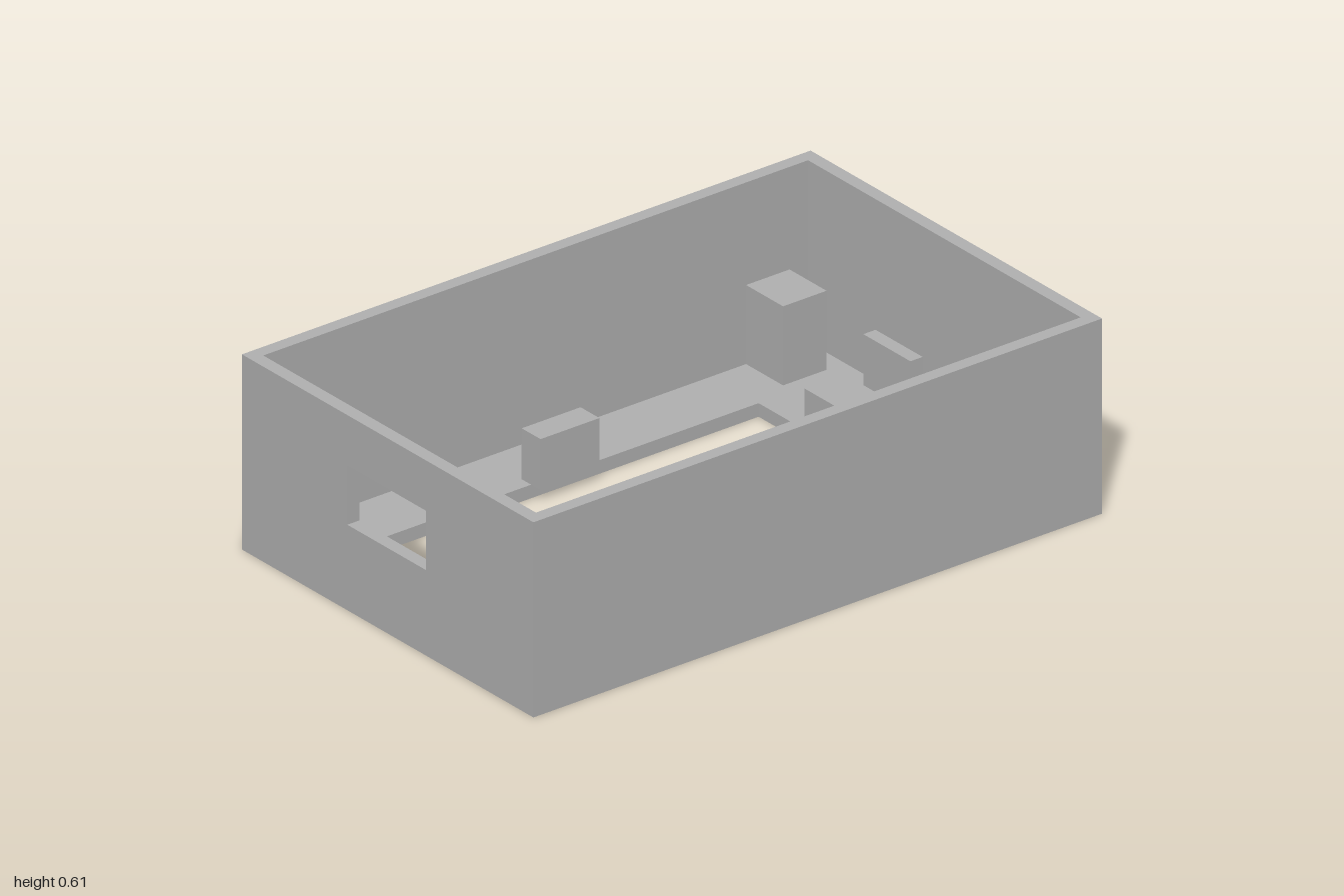
import * as THREE from 'three';

export function createModel() {
  const model = new THREE.Group();
  model.name = 'enclosure';
  const grey = new THREE.MeshStandardMaterial({ color: 0xb2b2b2 });
  grey.name = 'grey plastic';

  const W = 1, D = 0.65, H = 0.605, T = 0.042; // half width, half depth, height, wall
  const IX = W - T, IZ = D - T;

  const add = (name, geometry) => {
    const mesh = new THREE.Mesh(geometry, grey);
    mesh.name = name;
    model.add(mesh);
  };
  // Box given by its minimum and maximum on each axis
  const box = (name, x0, x1, y0, y1, z0, z1) => add(name,
    new THREE.BoxGeometry(x1 - x0, y1 - y0, z1 - z0)
      .translate((x0 + x1) / 2, (y0 + y1) / 2, (z0 + z1) / 2));
  const rect = (PathType, u0, u1, v0, v1) => new PathType([[u0, v0], [u1, v0], [u1, v1], [u0, v1]]
    .map(([u, v]) => new THREE.Vector2(u, v)));
  const extrude = (shape, depth) =>
    new THREE.ExtrudeGeometry(shape, { depth, bevelEnabled: false, curveSegments: 16 });

  // Floor frame with a large window (shape v is -z)
  const floor = rect(THREE.Shape, -IX, IX, -IZ, IZ);
  floor.holes.push(rect(THREE.Path, -0.745, 0.62, -0.495, 0.4));
  add('floor', extrude(floor, T).rotateX(-Math.PI / 2));

  // Plain front and back walls
  box('frontWall', -IX, IX, 0, H, IZ, D);
  box('backWall', -IX, IX, 0, H, -D, -IZ);

  // End walls with cutouts (shape u is -z)
  const endWall = (name, x, hole) => {
    const shape = rect(THREE.Shape, -D, D, 0, H);
    shape.holes.push(hole);
    add(name, extrude(shape, T).rotateY(Math.PI / 2).translate(x, 0, 0));
  };
  endWall('rightWall', -W, rect(THREE.Path, -0.17, 0.18, 0.265, 0.449));

  // Socket cutout: a square merged with a slightly wider circle
  const cu = -0.281, cv = 0.207, r = 0.109, half = 0.094, top = 0.315, low = 0.128;
  const side = Math.acos(half / r), base = Math.asin((cv - low) / r);
  const socket = new THREE.Path();
  socket.moveTo(cu - half, top);
  socket.lineTo(cu - half, cv + r * Math.sin(side));
  socket.absarc(cu, cv, r, Math.PI - side, Math.PI + side, false);
  socket.lineTo(cu - half, low);
  socket.absarc(cu, cv, r, Math.PI + base, 2 * Math.PI - base, false);
  socket.lineTo(cu + half, low);
  socket.absarc(cu, cv, r, -side, side, false);
  socket.lineTo(cu + half, top);
  socket.closePath();
  endWall('leftWall', IX, socket);

  // Four support posts
  for (const [x0, x1] of [[-IX, -0.79], [0.74, 0.893]]) {
    box('backPost', x0, x1, T, 0.287, -IZ, -0.443);
    box('frontPost', x0, x1, T, 0.287, 0.437, IZ);
  }

  // Blocks straddling the window edges, and one against the left wall
  const clipTop = 0.2;
  box('backClip', -0.18, 0.027, T, clipTop, -0.442, -0.358);
  box('frontClip', -0.18, 0.027, T, clipTop, 0.455, 0.539);
  box('rightClip', -0.79, -0.707, T, clipTop, -0.042, 0.167);
  box('leftClip', 0.583, 0.667, T, clipTop, -0.148, 0.063);
  box('wallClip', 0.915, IX, T, clipTop, -0.307, -0.097);

  return model;
}
